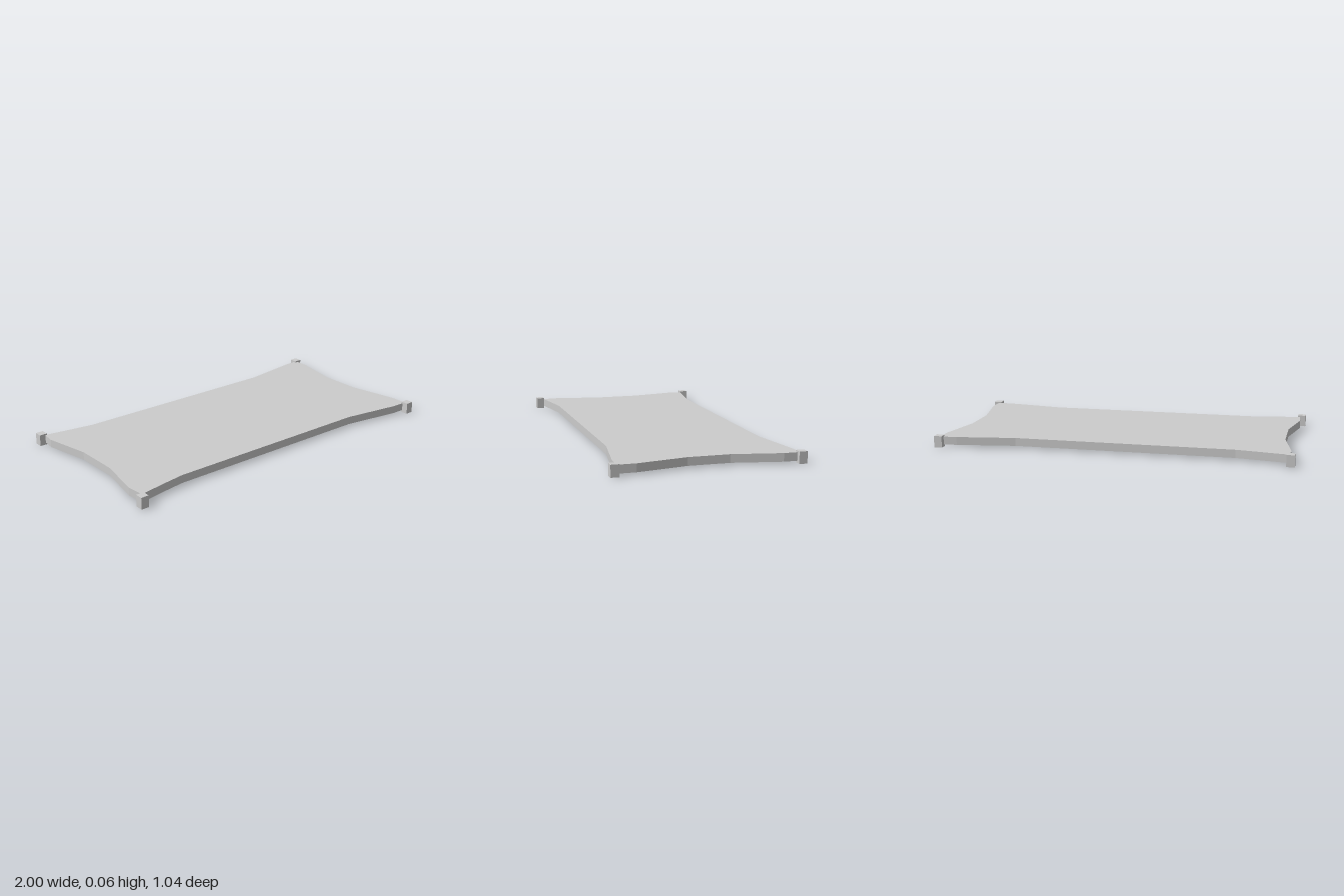
import * as THREE from 'three';

export function createModel() {
  const model = new THREE.Group();
  const material = new THREE.MeshStandardMaterial({ color: 0xcccccc, flatShading: true });

  // Stretched sheet: outline in (x, z), pulled out towards the four corners
  const outline = [
    [-0.965, -0.478], [-0.82, -0.455], [-0.68, -0.434], [0.55, -0.434], [0.88, -0.484], [0.96, -0.49],
    [0.975, -0.47], [0.975, -0.4], [0.92, -0.13], [0.92, 0.1], [0.975, 0.38], [0.975, 0.47],
    [0.96, 0.482], [0.88, 0.48], [0.55, 0.428], [-0.68, 0.428], [-0.82, 0.449], [-0.965, 0.475],
    [-0.974, 0.37], [-0.922, 0.12], [-0.922, -0.14], [-0.974, -0.4],
  ].map(([x, z]) => new THREE.Vector2(x, z));
  const bottom = 0.012, top = 0.057;
  const sheetGeometry = new THREE.ExtrudeGeometry(new THREE.Shape(outline), {
    depth: top - bottom, bevelEnabled: false,
  });
  sheetGeometry.rotateX(Math.PI / 2).translate(0, top, 0);
  const sheet = new THREE.Mesh(sheetGeometry, material);
  sheet.name = 'sheet';
  model.add(sheet);

  // Corner posts
  const width = 0.045, height = 0.065;
  const postGeometry = new THREE.BoxGeometry(width, height, width);
  for (const x of [-1, 1]) {
    for (const z of [-1, 1]) {
      const post = new THREE.Mesh(postGeometry, material);
      post.name = `${z > 0 ? 'front' : 'back'}${x > 0 ? 'Left' : 'Right'}Post`;
      post.position.set(x * (1 - width / 2), height / 2, z * 0.4965);
      model.add(post);
    }
  }
  return model;
}
